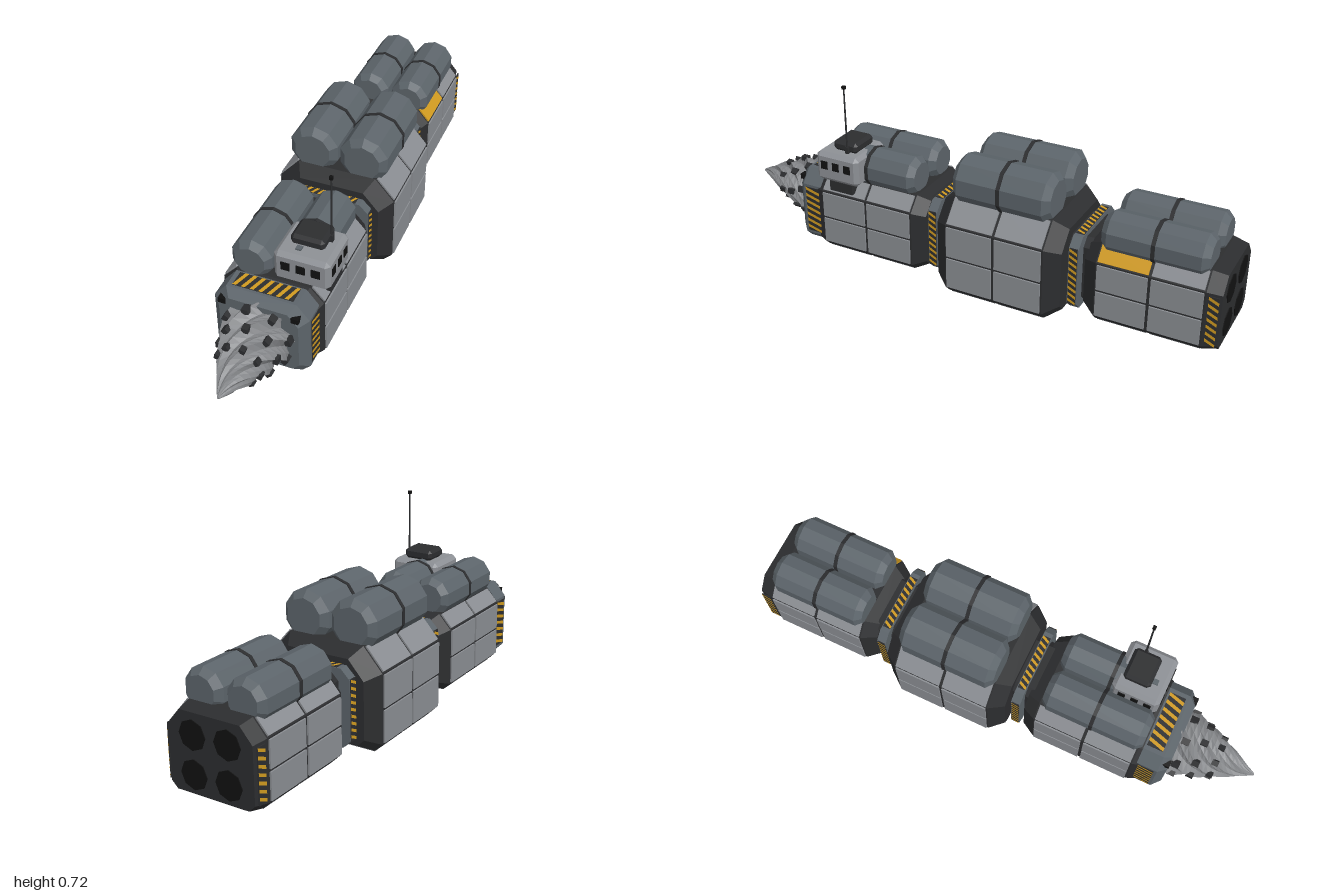
import * as THREE from 'three';

const mat = (color) => new THREE.MeshStandardMaterial({ color, flatShading: true, side: THREE.DoubleSide });

// Loft through rings [{z, pts}] ordered back to front, points anticlockwise seen from the front
function loft(rings) {
  const v = [];
  const put = (r, j) => v.push(r.pts[j % r.pts.length][0], r.pts[j % r.pts.length][1], r.z);
  const n = rings[0].pts.length;
  for (let i = 0; i < rings.length - 1; i++) {
    const a = rings[i], b = rings[i + 1];
    for (let j = 0; j < n; j++) {
      put(a, j); put(a, j + 1); put(b, j + 1);
      put(a, j); put(b, j + 1); put(b, j);
    }
  }
  const s = rings[0], e = rings[rings.length - 1];
  for (let j = 1; j < n - 1; j++) {
    put(s, 0); put(s, j + 1); put(s, j);
    put(e, 0); put(e, j); put(e, j + 1);
  }
  const g = new THREE.BufferGeometry();
  g.setAttribute('position', new THREE.Float32BufferAttribute(v, 3));
  g.computeVertexNormals();
  return g;
}

// Eight-sided hull section: half width, bottom, top, bottom chamfer, top chamfer width and height
const section = (w, y0, y1, cb, cx, cy) => [
  [-w + cb, y0], [w - cb, y0], [w, y0 + cb], [w, y1 - cy],
  [w - cx, y1], [-w + cx, y1], [-w, y1 - cy], [-w, y0 + cb]];
const scaled = (pts, k, cy) => pts.map(([x, y]) => [x * k, cy + (y - cy) * k]);
const ngon = (n, r, cx, cy) => Array.from({ length: n }, (_, i) => {
  const a = Math.PI / 2 + (i / n) * Math.PI * 2;
  return [cx + r * Math.cos(a), cy + r * Math.sin(a)];
});

export function createModel() {
  const model = new THREE.Group();
  const M = {
    panel: mat(0x8a8d92), under: mat(0x5c5f64), dark: mat(0x2c2d2f), black: mat(0x111111),
    tank: mat(0x5c646a), yellow: mat(0xd09a20), drill: mat(0x85878a), cabin: mat(0x8d9095)
  };
  const add = (name, geo, m, parent = model) => {
    const mesh = new THREE.Mesh(geo, m);
    mesh.name = name;
    parent.add(mesh);
    return mesh;
  };
  const box = (name, m, w, h, d, x, y, z) => {
    const b = add(name, new THREE.BoxGeometry(w, h, d), m);
    b.position.set(x, y, z);
    return b;
  };
  // Group on edge P-Q: local x along the edge, y outward
  const onEdge = (name, P, Q, t, z) => {
    const dx = Q[0] - P[0], dy = Q[1] - P[1], g = new THREE.Group();
    g.name = name;
    g.position.set(P[0] + dx * t, P[1] + dy * t, z);
    g.rotation.z = Math.atan2(-dy, -dx);
    model.add(g);
    return g;
  };
  // Row of slanted yellow bars on a dark plate
  const stripes = (P, Q, z, length, width, n) => {
    const g = onEdge('warningStripes', P, Q, 0.5, z);
    add('stripePlate', new THREE.BoxGeometry(length, 0.004, width), M.dark, g);
    const step = length / n, lean = step * 0.6;
    for (let i = 0; i < n; i++) {
      const x = -length / 2 + i * step, h = width / 2;
      const s = new THREE.Shape([[x, -h], [x + step * 0.45, -h], [x + step * 0.45 + lean, h], [x + lean, h]]
        .map(([a, b]) => new THREE.Vector2(Math.min(a, length / 2), b)));
      const bar = add('stripe', new THREE.ShapeGeometry(s), M.yellow, g);
      bar.rotation.x = -Math.PI / 2;
      bar.position.y = 0.003;
    }
  };

  // Hull cars: dark tapered core clad in plates, two along the length
  const cars = [
    { name: 'frontCar', s: section(0.183, 0.036, 0.335, 0.025, 0.05, 0.055), z: [0.13, 0.18, 0.575, 0.605], k: [0.86, 0.94] },
    { name: 'middleCar', s: section(0.226, 0.011, 0.385, 0.03, 0.075, 0.085), z: [-0.428, -0.375, 0.01, 0.064], k: [0.82, 0.82], yellow: '0,1,1' },
    { name: 'rearCar', s: section(0.176, 0.04, 0.335, 0.025, 0.05, 0.058), z: [-0.99, -0.937, -0.55, -0.497], k: [0.93, 0.8], yellow: '0,0,1 3,1,0' }];
  for (const c of cars) {
    const [a, b, d, e] = c.z, cy = 0.19;
    add(c.name + 'Core', loft([{ z: a, pts: scaled(c.s, c.k[0], cy) }, { z: b, pts: c.s },
      { z: d, pts: c.s }, { z: e, pts: scaled(c.s, c.k[1], cy) }]), M.dark);
    for (const [edge, count] of [[0, 3], [2, 2], [3, 1], [5, 1], [6, 2]]) {
      const P = c.s[edge], Q = c.s[(edge + 1) % 8];
      const len = Math.hypot(Q[0] - P[0], Q[1] - P[1]) / count;
      for (let row = 0; row < 2; row++) for (let i = 0; i < count; i++) {
        const half = (d - b) / 2;
        const g = onEdge('hullPanel', P, Q, (i + 0.5) / count, b + half * (row + 0.5));
        const yellow = c.yellow && c.yellow.split(' ').includes([edge, row, i].join());
        add('plate', new THREE.BoxGeometry(len - 0.01, 0.012, half - 0.012),
          yellow ? M.yellow : edge === 0 ? M.under : M.panel, g);
      }
    }
  }

  // Paired ten-sided tanks with a dark band round the middle
  for (const [r, x, y, z0, z1] of [[0.08, 0.08, 0.385, 0.19, 0.585], [0.1, 0.097, 0.44, -0.37, 0.01], [0.082, 0.083, 0.364, -0.93, -0.55]])
    for (const s of [1, -1]) {
      const end = s > 0 && z0 > 0 ? 0.45 : z1, zm = (z0 + z1) / 2, b = 0.024;
      const ring = (z, k) => ({ z, pts: ngon(10, r * k, s * x, y) });
      add('tank', loft([ring(z0, 0.7), ring(z0 + b, 0.97), ring(end - b, 0.97), ring(end, 0.7)]), M.tank);
      add('tankBand', loft([ring(zm - 0.007, 1), ring(zm + 0.007, 1)]), M.dark);
    }

  // Couplings between the cars
  for (const z of [0.097, -0.463]) {
    const neck = section(0.12, 0.06, 0.32, 0.03, 0.03, 0.03);
    add('couplingNeck', loft([{ z: z - 0.045, pts: neck }, { z: z + 0.045, pts: neck }]), M.dark);
    const frame = section(0.165, 0.05, 0.335, 0.03, 0.035, 0.035);
    add('couplingFrame', loft([{ z: z - 0.018, pts: frame }, { z: z + 0.018, pts: frame }]), M.tank);
    for (const e of [2, 4, 6]) stripes(frame[e], frame[(e + 1) % 8], z, 0.225, 0.03, 9);
  }

  // Nose collar
  const collar = section(0.172, 0.042, 0.338, 0.03, 0.045, 0.055);
  add('noseCollar', loft([{ z: 0.59, pts: collar }, { z: 0.67, pts: collar },
    { z: 0.7, pts: scaled(collar, 0.83, 0.19) }]), M.tank);
  for (const e of [2, 4, 6]) stripes(collar[e], collar[(e + 1) % 8], 0.628, e === 4 ? 0.22 : 0.19, 0.062, 7);
  for (const s of [1, -1]) box('headLamp', M.black, 0.027, 0.02, 0.025, s * 0.131, 0.295, 0.69);

  // Drill: twisted star section shrinking to the tip
  const profile = [[0.69, 0.135], [0.74, 0.124], [0.82, 0.096], [0.9, 0.058], [1, 0.004]];
  const radiusAt = (z) => {
    let i = 0;
    while (i < 3 && z > profile[i + 1][0]) i++;
    const [za, ra] = profile[i], [zb, rb] = profile[i + 1];
    return ra + (rb - ra) * (z - za) / (zb - za);
  };
  const arms = 8, twist = (z) => (z - 0.69) / 0.31 * 2.6;
  const rings = [];
  for (let i = 0; i <= 14; i++) {
    const z = 0.69 + 0.31 * i / 14, r = radiusAt(z);
    rings.push({ z, pts: Array.from({ length: arms * 3 }, (_, j) => {
      const a = j / (arms * 3) * Math.PI * 2 + twist(z), k = r * [1, 0.9, 0.76][j % 3];
      return [k * Math.cos(a), 0.19 + k * Math.sin(a)];
    }) });
  }
  add('drillCone', loft(rings), M.drill);
  for (let j = 0; j < arms; j++) for (const z of [0.72, 0.785, 0.85]) {
    const a = j / arms * Math.PI * 2 + twist(z), r = radiusAt(z) * 0.95, size = 0.012 + 0.1 * radiusAt(z);
    const tooth = box('drillTooth', M.dark, size * 0.8, size, size * 1.2,
      r * Math.cos(a), 0.19 + r * Math.sin(a), z);
    tooth.rotation.z = a;
  }

  // Chamfered box helper for the cabin and its hatch
  const chamferBox = (name, m, x0, x1, y0, y1, z0, z1, c) => {
    const pts = (i) => [[x0 + c, y0 + i], [x1 - c, y0 + i], [x1 - i, y0 + c], [x1 - i, y1 - c],
      [x1 - c, y1 - i], [x0 + c, y1 - i], [x0 + i, y1 - c], [x0 + i, y0 + c]];
    add(name, loft([{ z: z0, pts: pts(c * 0.9) }, { z: z0 + c, pts: pts(0) },
      { z: z1 - c, pts: pts(0) }, { z: z1, pts: pts(c * 0.9) }]), m);
  };
  chamferBox('cabin', M.cabin, 0.002, 0.203, 0.338, 0.456, 0.395, 0.58, 0.016);
  for (let i = 0; i < 3; i++) {
    box('frontWindow', M.black, 0.032, 0.032, 0.006, 0.048 + i * 0.054, 0.406, 0.58);
    for (const x of [0.203, 0.002]) box('sideWindow', M.black, 0.006, 0.032, 0.028, x, 0.406, 0.44 + i * 0.05);
  }
  box('cabinBracket', M.dark, 0.05, 0.04, 0.1, 0.165, 0.318, 0.48);
  chamferBox('roofHatch', M.dark, 0.042, 0.163, 0.455, 0.497, 0.42, 0.525, 0.012);
  box('hatchHandle', M.tank, 0.02, 0.008, 0.02, 0.08, 0.458, 0.535);

  // Antenna
  box('antennaBase', M.dark, 0.014, 0.03, 0.014, 0.163, 0.468, 0.46);
  const mast = add('antennaMast', new THREE.CylinderGeometry(0.003, 0.004, 0.25, 6), M.dark);
  mast.position.set(0.163, 0.592, 0.46);
  box('antennaTip', M.black, 0.012, 0.012, 0.012, 0.163, 0.718, 0.46);

  // Rear end: four exhausts and side stripes
  for (const x of [-0.068, 0.068]) for (const y of [0.117, 0.25]) {
    const disc = add('exhaust', new THREE.CylinderGeometry(0.052, 0.052, 0.006, 8), M.black);
    disc.rotation.x = Math.PI / 2;
    disc.position.set(x, y, -0.99);
  }
  for (const s of [1, -1])
    stripes([s * 0.174, s > 0 ? 0.05 : 0.29], [s * 0.174, s > 0 ? 0.29 : 0.05], -0.965, 0.19, 0.036, 7);
  return model;
}
